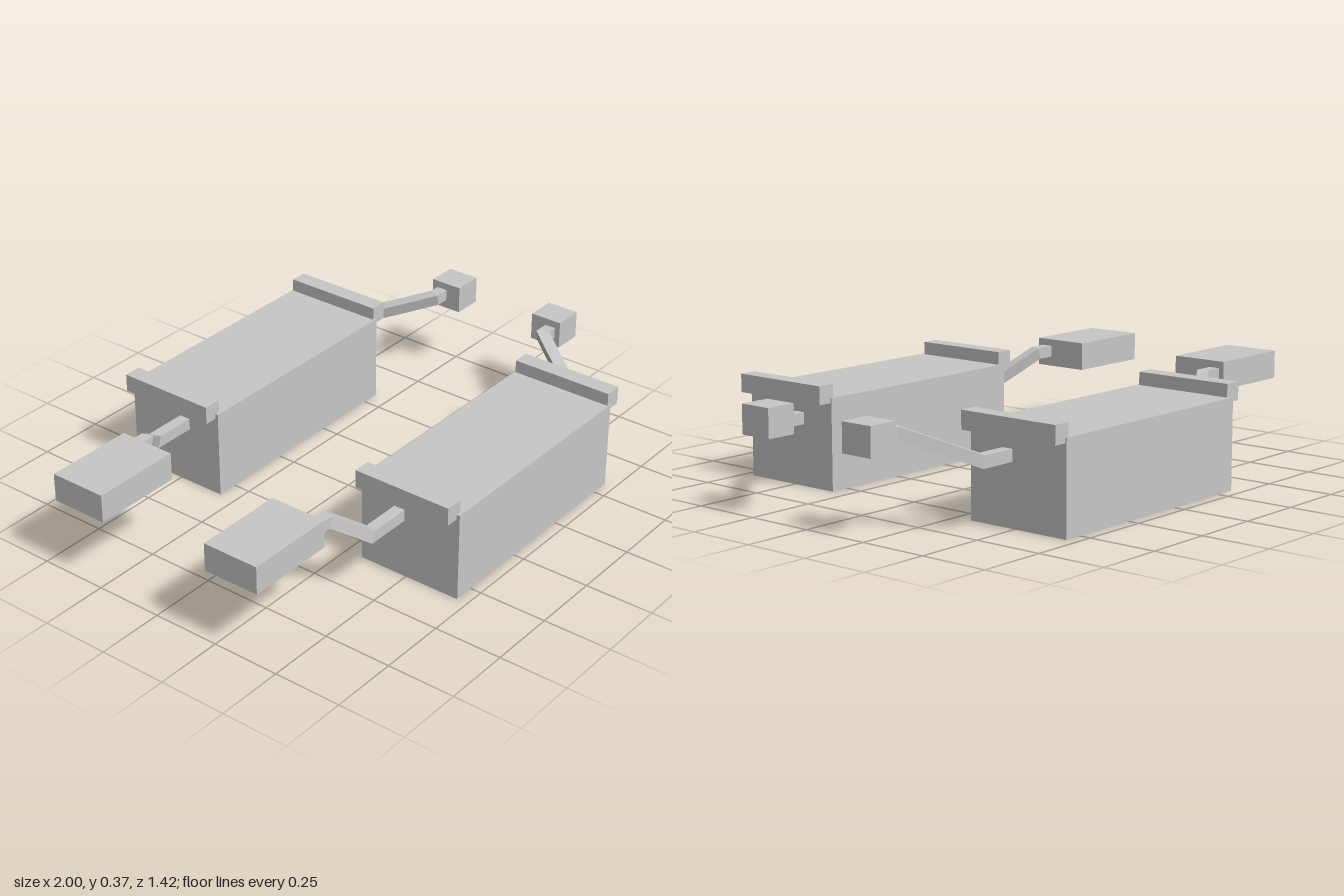
import * as THREE from 'three';

const grey = new THREE.MeshStandardMaterial({ color: 0xc8c8c8 });
grey.name = 'plain grey';

function block(name, x0, x1, y0, y1, z0, z1) {
  const geo = new THREE.BoxGeometry(x1 - x0, y1 - y0, z1 - z0);
  geo.translate((x0 + x1) / 2, (y0 + y1) / 2, (z0 + z1) / 2);
  const mesh = new THREE.Mesh(geo, grey);
  mesh.name = name;
  return mesh;
}

// Square bar along a bent path running in +x, with mitred bends
function bentBar(name, path, h) {
  const pts = path.map((p) => new THREE.Vector3(...p));
  const dir = (i) => pts[i + 1].clone().sub(pts[i]).normalize();
  const last = pts.length - 1;
  const rings = pts.map((p, i) => {
    const n = dir(Math.max(i - 1, 0)).add(dir(Math.min(i, last - 1)));
    return [[-h, -h], [h, -h], [h, h], [-h, h]].map(([dy, dz]) =>
      [p.x - (n.y * dy + n.z * dz) / n.x, p.y + dy, p.z + dz]);
  });
  const pos = [];
  const quad = (a, b, c, d) => pos.push(...a, ...b, ...c, ...a, ...c, ...d);
  for (let i = 0; i < last; i++) {
    for (let k = 0; k < 4; k++) {
      const m = (k + 1) % 4;
      quad(rings[i][k], rings[i][m], rings[i + 1][m], rings[i + 1][k]);
    }
  }
  // end caps
  quad(...rings[last]);
  quad(...rings[0].slice().reverse());
  const geo = new THREE.BufferGeometry();
  geo.setAttribute('position', new THREE.Float32BufferAttribute(pos, 3));
  geo.computeVertexNormals();
  const mesh = new THREE.Mesh(geo, grey);
  mesh.name = name;
  return mesh;
}

export function createModel() {
  const model = new THREE.Group();
  model.name = 'twinBoxAssembly';

  // One unit for each side, mirrored in z by placing every part at s * z
  for (const s of [1, -1]) {
    const unit = new THREE.Group();
    unit.name = s > 0 ? 'frontUnit' : 'backUnit';
    const box = (name, x0, x1, y0, y1, z0, z1) =>
      unit.add(block(name, x0, x1, y0, y1, s > 0 ? z0 : -z1, s > 0 ? z1 : -z0));

    box('mainBox', -0.327, 0.569, 0, 0.325, 0.315, 0.71);
    box('rightEdgeBar', -0.375, -0.309, 0.307, 0.372, 0.325, 0.698);
    box('leftEdgeBar', 0.556, 0.62, 0.307, 0.372, 0.32, 0.706);
    box('rightPad', -1, -0.67, 0.27, 0.372, 0.219, 0.431);
    box('leftPad', 0.888, 1, 0.27, 0.372, 0.165, 0.288);

    // Bent arms joining the main box to its pads
    unit.add(bentBar('rightArm', [
      [-0.68, 0.326, s * 0.39], [-0.605, 0.326, s * 0.39],
      [-0.487, 0.239, s * 0.47], [-0.32, 0.239, s * 0.47]], 0.021));
    unit.add(bentBar('leftArm', [
      [0.56, 0.239, s * 0.47], [0.695, 0.239, s * 0.47],
      [0.844, 0.324, s * 0.246], [0.89, 0.324, s * 0.246]], 0.021));
    model.add(unit);
  }
  return model;
}
